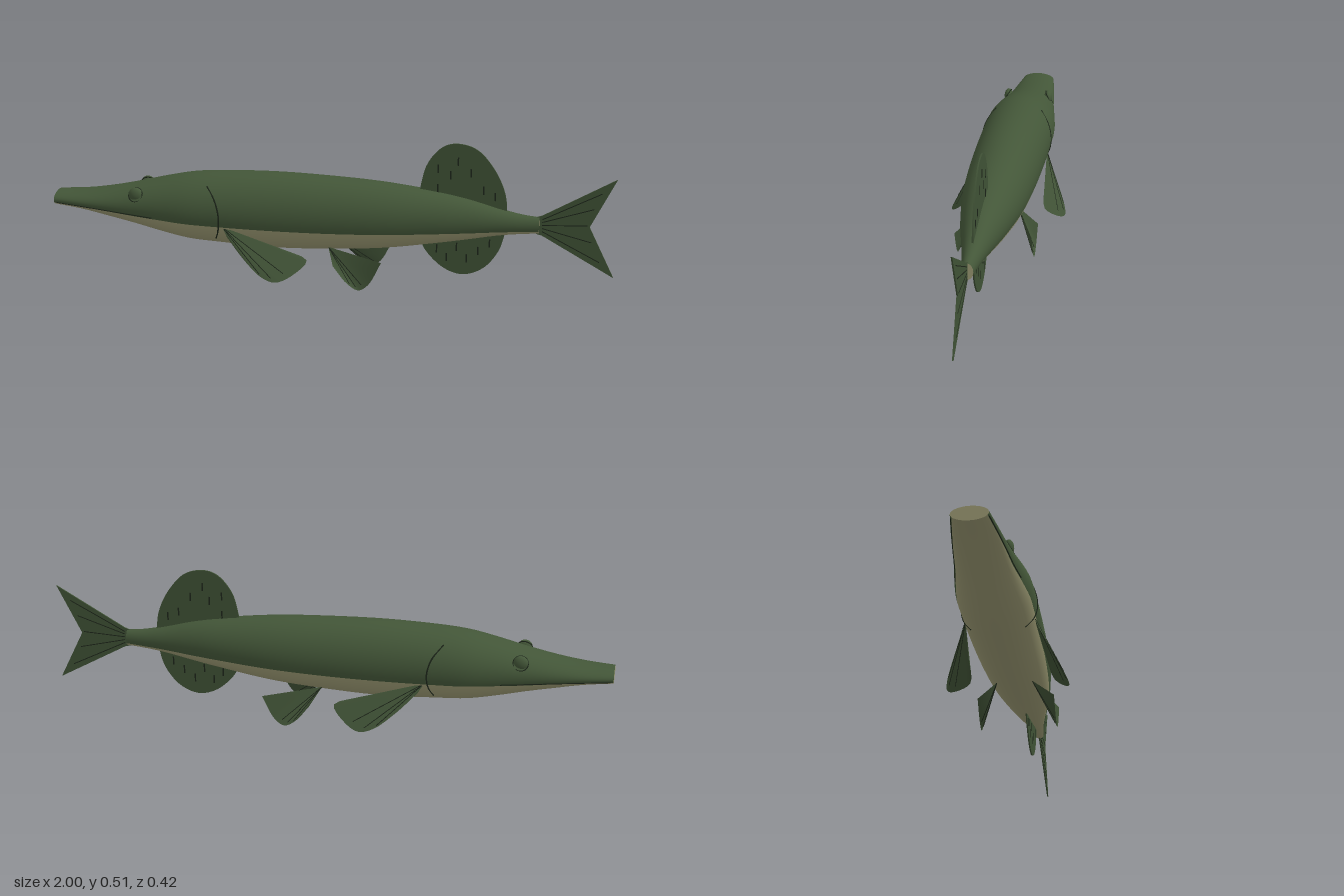
import * as THREE from 'three';

const mat = (name, color, side = THREE.FrontSide) => {
  const m = new THREE.MeshStandardMaterial({ color, side });
  m.name = name;
  return m;
};

// Stations along the body: x, top y, bottom y, half width, colour border y
const STATIONS = [
  [-1, 0.265, 0.215, 0.06, 0.23], [-0.9, 0.272, 0.203, 0.074, 0.225], [-0.8, 0.288, 0.182, 0.086, 0.218],
  [-0.7, 0.31, 0.16, 0.098, 0.21], [-0.6, 0.335, 0.136, 0.113, 0.205], [-0.5, 0.356, 0.117, 0.126, 0.2],
  [-0.4, 0.366, 0.11, 0.128, 0.197], [-0.2, 0.373, 0.101, 0.126, 0.194], [0, 0.369, 0.108, 0.12, 0.194],
  [0.2, 0.358, 0.124, 0.107, 0.198], [0.4, 0.334, 0.155, 0.08, 0.205], [0.5, 0.315, 0.173, 0.061, 0.208],
  [0.6, 0.288, 0.192, 0.041, 0.212], [0.68, 0.271, 0.202, 0.028, 0.215], [0.74, 0.265, 0.207, 0.021, 0.218],
];

// Smoothly interpolated station at x
function station(x) {
  let i = 0;
  while (i < STATIONS.length - 2 && STATIONS[i + 1][0] < x) i++;
  const at = (k) => STATIONS[Math.min(Math.max(k, 0), STATIONS.length - 1)];
  const slope = (k, c) => (at(k + 1)[c] - at(k - 1)[c]) / (at(k + 1)[0] - at(k - 1)[0]);
  const d = at(i + 1)[0] - at(i)[0], t = (x - at(i)[0]) / d, t2 = t * t, t3 = t2 * t;
  const [top, bottom, w, border] = [1, 2, 3, 4].map((c) =>
    at(i)[c] * (2 * t3 - 3 * t2 + 1) + slope(i, c) * d * (t3 - 2 * t2 + t)
    + at(i + 1)[c] * (3 * t2 - 2 * t3) + slope(i + 1, c) * d * (t3 - t2));
  return { cy: (top + bottom) / 2, h: (top - bottom) / 2, w, border };
}

// Half width of the body at a given x and y
function skin(x, y) {
  const s = station(x), k = (y - s.cy) / s.h;
  return s.w * Math.sqrt(Math.max(0, 1 - k * k));
}

function bodyGeometry() {
  const rows = 70, upper = 28, lower = 20, n = upper + lower;
  const pos = [], back = [], belly = [];
  for (let i = 0; i <= rows; i++) {
    const x = -1 + 1.74 * i / rows, s = station(x);
    const a = Math.asin((s.border - s.cy) / s.h);
    for (let j = 0; j < n; j++) {
      const t = j < upper ? a + (Math.PI - 2 * a) * j / upper
        : Math.PI - a + (Math.PI + 2 * a) * (j - upper) / lower;
      pos.push(x, s.cy + s.h * Math.sin(t), s.w * Math.cos(t));
    }
  }
  for (let i = 0; i < rows; i++) for (let j = 0; j < n; j++) {
    const a = i * n + j, d = i * n + (j + 1) % n;
    (j < upper ? back : belly).push(a, a + n, d + n, a, d + n, d);
  }
  // Flat caps at the mouth and the tail root
  for (const row of [0, rows]) {
    const base = pos.length / 3;
    pos.push(...pos.slice(row * n * 3, (row + 1) * n * 3));
    const x = row ? 0.74 : -1;
    pos.push(x, station(x).cy, 0);
    for (let j = 0; j < n; j++) {
      const p = base + j, q = base + (j + 1) % n;
      belly.push(base + n, row ? q : p, row ? p : q);
    }
  }
  const g = new THREE.BufferGeometry();
  g.setAttribute('position', new THREE.Float32BufferAttribute(pos, 3));
  g.setIndex([...back, ...belly]);
  g.addGroup(0, back.length, 0);
  g.addGroup(back.length, belly.length, 1);
  g.computeVertexNormals();
  return g;
}

// Open fan from a root point to a curved rim
function fanGeometry(root, rim) {
  const curve = new THREE.CatmullRomCurve3(rim.map((p) => new THREE.Vector3(...p)));
  const pts = curve.getPoints(24), pos = [...root], idx = [];
  pts.forEach((p, i) => {
    pos.push(p.x, p.y, p.z);
    if (i) idx.push(0, i, i + 1);
  });
  const g = new THREE.BufferGeometry();
  g.setAttribute('position', new THREE.Float32BufferAttribute(pos, 3));
  g.setIndex(idx);
  g.computeVertexNormals();
  return { g, curve };
}

export function createModel() {
  const model = new THREE.Group();
  const green = mat('back green', 0x435638);
  const cream = mat('belly cream', 0x9a9872);
  const finGreen = mat('fin green', 0x3f5135, THREE.DoubleSide);
  const dark = mat('dark marking', 0x1c2519);

  const add = (name, geo, material, parent = model) => {
    const m = new THREE.Mesh(geo, material);
    m.name = name;
    parent.add(m);
    return m;
  };
  const line = (name, points, r, parent) => add(name,
    new THREE.TubeGeometry(new THREE.CatmullRomCurve3(points), 20, r, 5), dark, parent);
  const plate = (name, shape) => {
    const g = new THREE.ExtrudeGeometry(shape, { depth: 0.005, bevelEnabled: false, curveSegments: 24 });
    return add(name, g.translate(0, 0, -0.0025), finGreen);
  };

  add('body', bodyGeometry(), [green, cream]);

  // Dorsal and anal fins share one rounded outline through the body
  const outline = [[0.345, 0.43], [0.395, 0.494], [0.455, 0.512], [0.525, 0.49], [0.585, 0.42], [0.62, 0.34],
    [0.628, 0.26], [0.622, 0.2], [0.6, 0.13], [0.55, 0.068], [0.48, 0.04], [0.41, 0.06], [0.35, 0.115],
    [0.325, 0.17], [0.32, 0.25], [0.322, 0.34]].map((p) => new THREE.Vector2(...p));
  const finShape = new THREE.Shape().moveTo(0.322, 0.34);
  finShape.splineThru(outline);
  plate('dorsalAndAnalFins', finShape);

  // Dark dashes on those fins
  const dashes = [[0.385, 0.35], [0.385, 0.42], [0.43, 0.4], [0.455, 0.45], [0.5, 0.41], [0.545, 0.35], [0.585, 0.33],
    [0.385, 0.13], [0.42, 0.1], [0.455, 0.14], [0.49, 0.1], [0.53, 0.13], [0.57, 0.16]];
  for (const [x, y] of dashes) {
    add('finDash', new THREE.BoxGeometry(0.005, 0.03, 0.008), dark).position.set(x, y, 0);
  }

  // Forked tail fin with rays
  const tail = new THREE.Shape([[0.73, 0.205], [0.75, 0.2], [1, 0.062], [0.912, 0.24], [1, 0.415], [0.75, 0.272],
    [0.73, 0.265]].map((p) => new THREE.Vector2(...p)));
  plate('tailFin', tail);
  for (const [y0, x1, y1] of [[0.258, 0.95, 0.362], [0.248, 0.925, 0.305], [0.237, 0.905, 0.245],
    [0.226, 0.92, 0.185], [0.215, 0.95, 0.115]]) {
    const ray = add('tailRay', new THREE.BoxGeometry(Math.hypot(x1 - 0.75, y1 - y0), 0.003, 0.007), dark);
    ray.position.set((0.75 + x1) / 2, (y0 + y1) / 2, 0);
    ray.rotation.z = Math.atan2(y1 - y0, x1 - 0.75);
  }

  for (const [label, s] of [['left', -1], ['right', 1]].map(([l, k]) => [k > 0 ? 'front' : 'rear', k])) {
    const side = new THREE.Group();
    side.name = label + 'SideParts';
    model.add(side);
    const v = (x, y, z) => new THREE.Vector3(x, y, z * s);

    // Paired fins
    const fins = [
      ['pectoralFin', [-0.36, 0.197, 0.115], [[-0.34, 0.165, 0.128], [-0.27, 0.1, 0.17], [-0.2, 0.05, 0.202],
        [-0.15, 0.037, 0.209], [-0.1, 0.055, 0.19], [-0.05, 0.105, 0.147], [-0.2, 0.137, 0.13]]],
      ['pelvicFin', [0.01, 0.13, 0.062], [[0.04, 0.085, 0.135], [0.09, 0.024, 0.135], [0.13, 0.002, 0.135],
        [0.165, 0.024, 0.135], [0.21, 0.108, 0.135]]],
    ];
    for (const [name, root, rim] of fins) {
      const flip = ([x, y, z]) => [x, y, z * s];
      const { g, curve } = fanGeometry(flip(root), rim.map(flip));
      add(name, g, finGreen, side);
      const from = new THREE.Vector3(...flip(root));
      for (const t of [0.35, 0.5, 0.65]) {
        const to = curve.getPoint(t);
        line('finRay', [from, from.clone().lerp(to, 0.5), from.clone().lerp(to, 0.92)], 0.0015, side);
      }
    }

    // Eye: low dome with a dark rim
    const z = skin(-0.685, 0.285) * s;
    const eye = add('eye', new THREE.SphereGeometry(0.026, 24, 16), green, side);
    eye.scale.z = 0.6;
    eye.position.set(-0.685, 0.285, z);
    const rim = add('eyeRim', new THREE.TorusGeometry(0.026, 0.002, 6, 28), dark, side);
    rim.position.set(-0.685, 0.285, z + 0.003 * s);
    rim.rotation.set(-0.5 * s, -0.12 * s, 0);

    // Gill edge and mouth line follow the skin
    const onSkin = ([x, y]) => v(x, y, skin(x, y));
    line('gillEdge', [[-0.42, 0.333], [-0.385, 0.29], [-0.37, 0.24], [-0.373, 0.19], [-0.39, 0.145]].map(onSkin), 0.003, side);
    line('mouthLine', [[-0.99, 0.232], [-0.9, 0.227], [-0.8, 0.221], [-0.7, 0.214], [-0.62, 0.21]].map(onSkin), 0.002, side);
  }
  return model;
}
